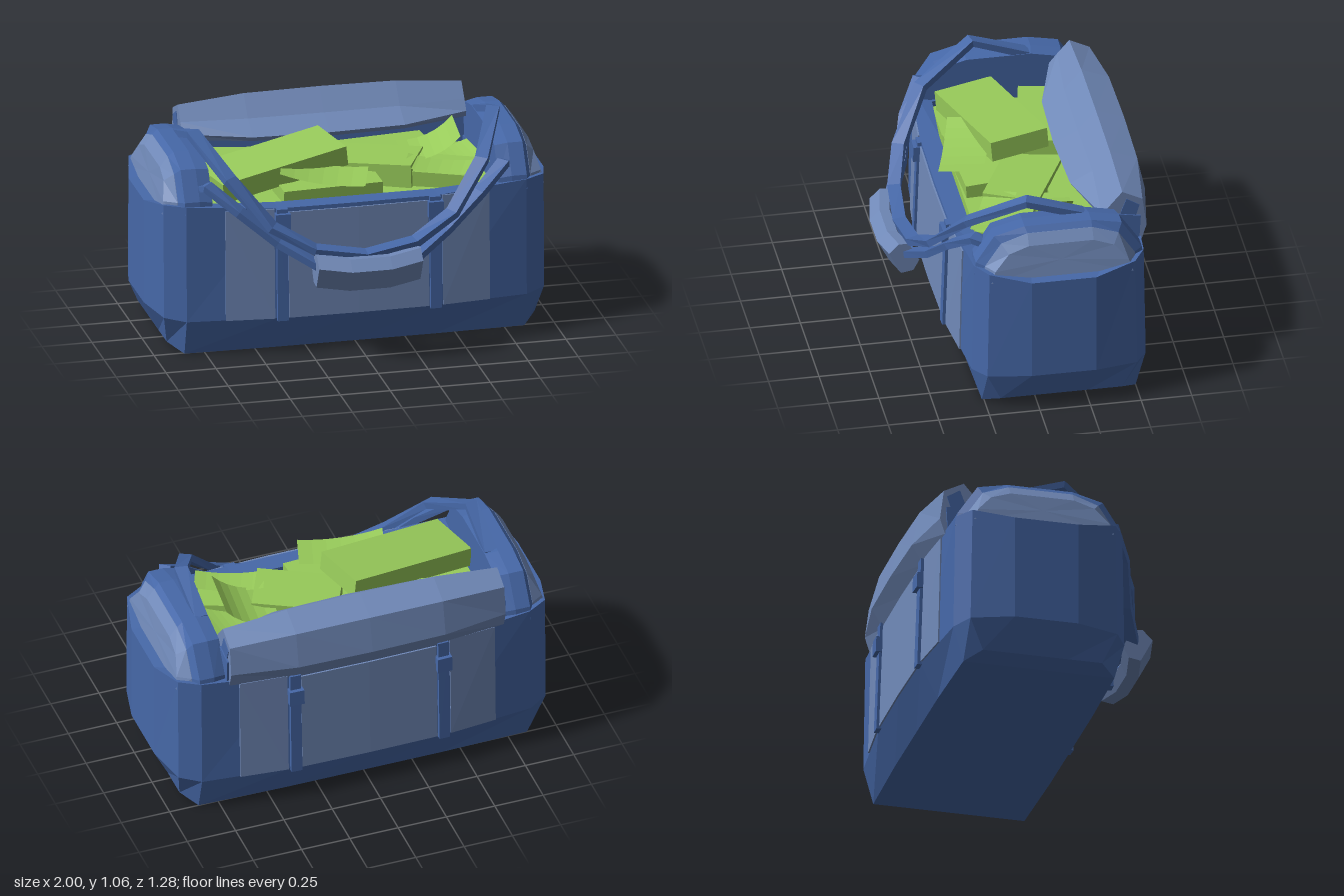
import * as THREE from 'three';

const ZC = -0.12; // body centre in depth

const mat = (name, color) => {
  const m = new THREE.MeshStandardMaterial({ color, flatShading: true, side: THREE.DoubleSide });
  m.name = name;
  return m;
};

// Skin a list of equal-length closed rings of [x, y, z], capped at both ends.
function loft(rings) {
  const tris = [];
  const V = (p) => new THREE.Vector3(...p);
  const add = (a, b, c) => {
    const n = b.clone().sub(a).cross(c.clone().sub(a));
    if (n.length() > 1e-8) tris.push([a, b, c]);
  };
  const R = rings.map((r) => r.map(V));
  const n = R[0].length;
  for (let i = 0; i < R.length - 1; i++) {
    for (let j = 0; j < n; j++) {
      const k = (j + 1) % n;
      add(R[i][j], R[i][k], R[i + 1][k]);
      add(R[i][j], R[i + 1][k], R[i + 1][j]);
    }
  }
  const cap = (ring, flip) => {
    const c = ring.reduce((s, p) => s.add(p), new THREE.Vector3()).divideScalar(n);
    ring.forEach((p, j) => {
      const q = ring[(j + 1) % n];
      if (flip) add(c, q, p); else add(c, p, q);
    });
  };
  cap(R[0], true);
  cap(R[R.length - 1], false);
  // turn the skin outwards
  const volume = tris.reduce((s, [a, b, c]) => s + a.dot(b.clone().cross(c)), 0);
  const pos = [];
  for (const [a, b, c] of tris) {
    for (const p of volume > 0 ? [a, b, c] : [a, c, b]) pos.push(p.x, p.y, p.z);
  }
  const g = new THREE.BufferGeometry();
  g.setAttribute('position', new THREE.Float32BufferAttribute(pos, 3));
  g.computeVertexNormals();
  return g;
}

// Rectangular webbing swept along a path that is mirrored across x = 0.
function webbing(half, width, thick) {
  const pts = [...half, ...half.slice(0, -1).reverse().map(([x, y, z]) => [-x, y, z])]
    .map((p) => new THREE.Vector3(...p));
  return loft(pts.map((p, i) => {
    const t = pts[Math.min(i + 1, pts.length - 1)].clone().sub(pts[Math.max(i - 1, 0)]).normalize();
    const up = new THREE.Vector3(0, 1, 0.15);
    up.addScaledVector(t, -up.dot(t)).normalize();
    const side = new THREE.Vector3().crossVectors(t, up);
    return [[1, 1], [1, -1], [-1, -1], [-1, 1]].map(([a, b]) =>
      p.clone().addScaledVector(side, a * width / 2).addScaledVector(up, b * thick / 2).toArray());
  }));
}

// Full body outline from a quarter of [x, y, half depth].
function outline(q) {
  const back = [...q].reverse();
  return [
    ...q.map(([x, y, d]) => [x, y, ZC + d]),
    ...back.map(([x, y, d]) => [x, y, ZC - d]),
    ...q.slice(1).map(([x, y, d]) => [-x, y, ZC - d]),
    ...back.slice(0, -1).map(([x, y, d]) => [-x, y, ZC + d]),
  ];
}

export function createModel() {
  const blue = mat('canvas blue', 0x4668a8);
  const pale = mat('panel pale blue', 0x7089b8);
  const green = mat('banknote green', 0x98cb5a);

  const bag = new THREE.Group();
  bag.name = 'duffelBag';
  const put = (name, geo, material, parent = bag) => {
    const m = new THREE.Mesh(geo, material);
    m.name = name;
    parent.add(m);
    return m;
  };

  // body: chamfered base, straight walls, rim and inner walls
  const low = [[0, 0.18, 0.48], [0.4, 0.18, 0.475], [0.85, 0.18, 0.43], [0.95, 0.19, 0.37], [1, 0.2, 0.16]];
  const top = [[0, 0.74, 0.46], [0.4, 0.74, 0.455], [0.85, 0.77, 0.42], [0.95, 0.77, 0.36], [1, 0.73, 0.16]];
  const base = [[0, 0, 0.39], [0.4, 0, 0.39], [0.85, 0, 0.38]];
  const rim = [[0, 0.74, 0.36], [0.4, 0.74, 0.36], [0.7, 0.75, 0.34], [0.71, 0.75, 0.3], [0.72, 0.75, 0.13]];
  put('body', loft([
    outline([...base, [0.85, 0, 0.3], [0.85, 0, 0.13]]),
    outline([...base, [0.92, 0.04, 0.3], [0.92, 0.04, 0.13]]),
    outline(low), outline(top), outline(rim),
    outline(rim.map(([x, , d]) => [x, 0.6, d])),
  ]), blue);

  // plates that lie on the front (s = 1) or back (s = -1) wall
  const wall = (x, y) => {
    const t = (y - 0.18) / 0.57;
    const at = (r) => {
      const i = Math.abs(x) < 0.4 ? 0 : 1;
      return THREE.MathUtils.mapLinear(Math.abs(x), r[i][0], r[i + 1][0], r[i][2], r[i + 1][2]);
    };
    return THREE.MathUtils.lerp(at(low), at(top), t);
  };
  const plate = (xs, y0, y1, off, s) => loft(xs.map((x) =>
    [[y0, off], [y1, off], [y1, -0.02], [y0, -0.02]].map(([y, o]) => [x, y, ZC + s * (wall(x, y) + o)])));
  for (const [s, face] of [[1, 'front'], [-1, 'back']]) {
    put(face + 'Panel', plate([-0.35, 0, 0.35], 0.18, 0.72, 0.008, s), pale);
    for (const m of [-1, 1]) {
      put(face + 'SidePanel', plate([0.42 * m, 0.66 * m], 0.18, 0.74, 0.008, s), pale);
      put(face + 'Strap', plate([0.355 * m, 0.41 * m], 0.17, 0.74, 0.02, s), blue);
      const by = s > 0 ? 0.64 : 0.58;
      put(face + 'Buckle', plate([0.345 * m, 0.42 * m], by, by + 0.08, 0.04, s), blue);
    }
  }

  // raised end arches with pale pockets
  const arch = [[0.3, 0.72], [0.29, 0.79], [0.2, 0.93], [0.05, 0.97], [-0.28, 0.97], [-0.43, 0.94], [-0.53, 0.79], [-0.54, 0.72]];
  const pocket = [[0.26, 0.72], [0.25, 0.78], [0.17, 0.9], [0.04, 0.945], [-0.28, 0.945], [-0.41, 0.9], [-0.49, 0.78], [-0.5, 0.72]];
  const face = [[0.23, 0.72], [0.21, 0.78], [0.14, 0.86], [0.04, 0.895], [-0.28, 0.895], [-0.38, 0.86], [-0.45, 0.78], [-0.47, 0.72]];
  const faceX = [0.955, 0.945, 0.925, 0.92, 0.92, 0.925, 0.945, 0.955];
  for (const m of [-1, 1]) {
    const at = (x, ring) => ring.map(([z, y]) => [x * m, y, z]);
    put('endArch', loft([at(0.715, arch.map(([z, y]) => [z * 0.97, y - 0.01])), at(0.78, arch), at(0.855, arch), at(0.88, pocket)]), blue);
    put('endPocket', loft([at(0.86, pocket), at(0.882, pocket), face.map(([z, y], i) => [faceX[i] * m, y, z])]), pale);
  }

  // back wall under the lid
  put('backWall', loft([-0.72, 0.72].map((x) =>
    [[-0.54, 0.7], [-0.55, 0.88], [-0.44, 0.9], [-0.42, 0.6]].map(([z, y]) => [x, y, z]))), blue);

  // rolled-back lid, bulging towards the middle
  const roll = [[-0.58, 0.72], [-0.64, 0.82], [-0.6, 1], [-0.46, 1.055], [-0.37, 0.95], [-0.25, 0.89], [-0.27, 0.865], [-0.46, 0.84], [-0.54, 0.82]];
  const rollEnd = [[-0.555, 0.74], [-0.58, 0.82], [-0.56, 0.97], [-0.46, 1.02], [-0.4, 0.95], [-0.36, 0.9], [-0.37, 0.87], [-0.46, 0.85], [-0.52, 0.82]];
  put('lid', loft([[-0.71, 1], [-0.38, 0.12], [0, 0], [0.38, 0.12], [0.71, 1]].map(([x, k]) =>
    roll.map(([z, y], i) => [x, THREE.MathUtils.lerp(y, rollEnd[i][1], k), THREE.MathUtils.lerp(z, rollEnd[i][0], k)]))), pale);
  for (const m of [-1, 1]) {
    put('lidHollow', loft([0.705, 0.714].map((x) =>
      [[-0.45, 0.9], [-0.48, 0.98], [-0.545, 0.94], [-0.52, 0.86]].map(([z, y]) => [x * m, y, z]))), blue);
  }

  // two carrying handles joined by a wrapped grip
  put('rearHandle', webbing([[0.75, 0.95, -0.26], [0.75, 1.045, 0.02], [0.63, 0.89, 0.29], [0.45, 0.68, 0.43],
    [0.25, 0.57, 0.49], [0, 0.53, 0.51]], 0.065, 0.035), blue);
  put('frontHandle', webbing([[0.77, 0.82, 0.18], [0.74, 0.86, 0.28], [0.6, 0.75, 0.37], [0.42, 0.6, 0.43],
    [0.25, 0.5, 0.51], [0, 0.47, 0.55]], 0.06, 0.035), blue);
  const grip = [[0.64, 0.49], [0.59, 0.54], [0.54, 0.535], [0.49, 0.44], [0.52, 0.385], [0.58, 0.375]];
  put('grip', loft([-0.26, -0.1, 0.1, 0.26].map((x) => {
    const k = Math.abs(x) > 0.2 ? 1 : 0;
    return grip.map(([z, y]) => [x, y + 0.02 * k, z - 0.03 * k]);
  })), pale);

  // contents: a bed of notes, bundles, and loose curled notes
  const money = new THREE.Group();
  money.name = 'banknotes';
  bag.add(money);
  put('noteBed', new THREE.BoxGeometry(1.42, 0.12, 0.68).translate(0, 0.66, -0.12), green, money);
  const bundles = [ // position, size, rotation
    [[-0.35, 0.84, -0.01], [0.68, 0.1, 0.3], [0.04, 0.24, 0.12]],
    [[0.18, 0.77, -0.06], [0.42, 0.12, 0.28], [0, -0.45, 0.03]],
    [[0.46, 0.75, 0.06], [0.36, 0.1, 0.24], [0.05, -0.4, 0]],
    [[-0.42, 0.75, -0.27], [0.5, 0.1, 0.24], [0, -0.2, 0]],
    [[-0.1, 0.74, 0.12], [0.5, 0.1, 0.2], [0.05, 0.05, 0]],
    [[0.25, 0.75, -0.28], [0.5, 0.1, 0.22], [0, 0.1, 0]],
  ];
  for (const [p, s, r] of bundles) {
    const b = put('noteBundle', new THREE.BoxGeometry(...s), green, money);
    b.position.set(...p);
    b.rotation.set(...r);
  }
  const notes = [ // position, length, width, curl, rotation
    [[-0.13, 0.83, 0.16], 0.42, 0.22, 0.5, [0.1, -0.3, -0.1]],
    [[0.47, 0.84, -0.1], 0.3, 0.3, 1.6, [0, -0.1, 0.4]],
    [[0.46, 0.81, 0.13], 0.34, 0.16, 0.6, [0.1, -0.4, 0]],
    [[0.6, 0.78, -0.05], 0.2, 0.34, 0.8, [0, 0.1, 0.2]],
  ];
  for (const [p, l, w, curl, r] of notes) {
    const g = new THREE.PlaneGeometry(l, w, 6, 1).rotateX(-Math.PI / 2);
    const a = g.attributes.position;
    for (let i = 0; i < a.count; i++) a.setY(i, curl * a.getX(i) ** 2);
    g.computeVertexNormals();
    const n = put('looseNote', g, green, money);
    n.position.set(...p);
    n.rotation.set(...r);
  }
  return bag;
}
